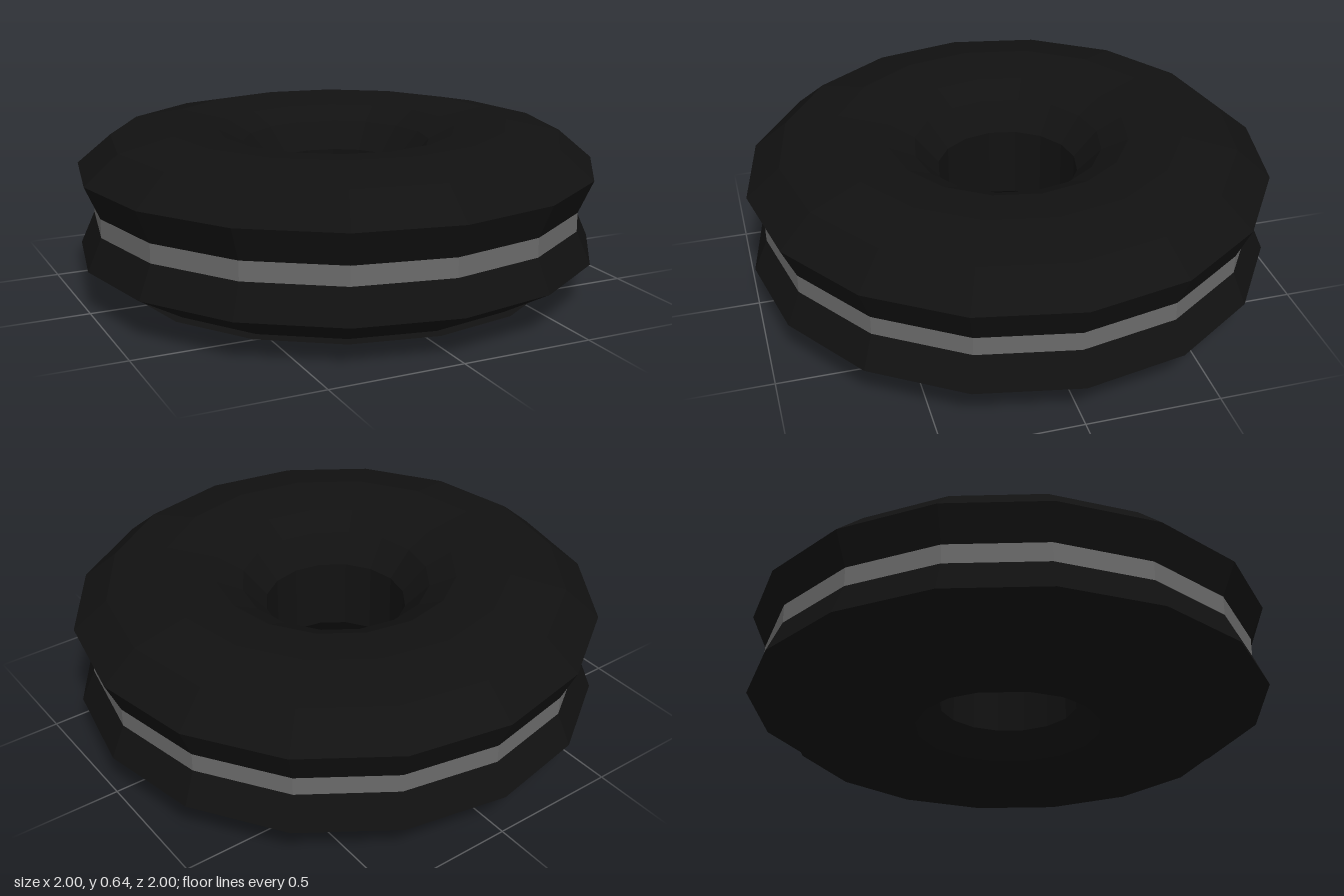
import * as THREE from 'three';

const SIDES = 16;

// Turns a profile of [radius, height] points, listed upwards on the outside
function turned(name, points, color) {
  const geometry = new THREE.LatheGeometry(points.map(([r, y]) => new THREE.Vector2(r, y)), SIDES);
  const material = new THREE.MeshStandardMaterial({ color, flatShading: true });
  const mesh = new THREE.Mesh(geometry, material);
  mesh.name = name;
  return mesh;
}

export function createModel() {
  const group = new THREE.Group();
  group.name = 'groovedRing';

  // Black ring: upper bulge, bore, lower bulge with a slight lip underneath
  group.add(turned('ringBody', [
    [0.945, 0.355], [1, 0.48], [0.87, 0.59], [0.66, 0.636],
    [0.46, 0.61], [0.36, 0.56], [0.27, 0.46],
    [0.27, 0.18], [0.36, 0.08], [0.46, 0.03],
    [0.66, 0], [0.84, 0.042], [0.81, 0.05], [1, 0.16], [0.945, 0.283],
  ], 0x111111));

  // Grey band at the bottom of the groove
  group.add(turned('grooveBand', [[0.945, 0.283], [0.945, 0.355]], 0x6a6a6a));

  return group;
}
